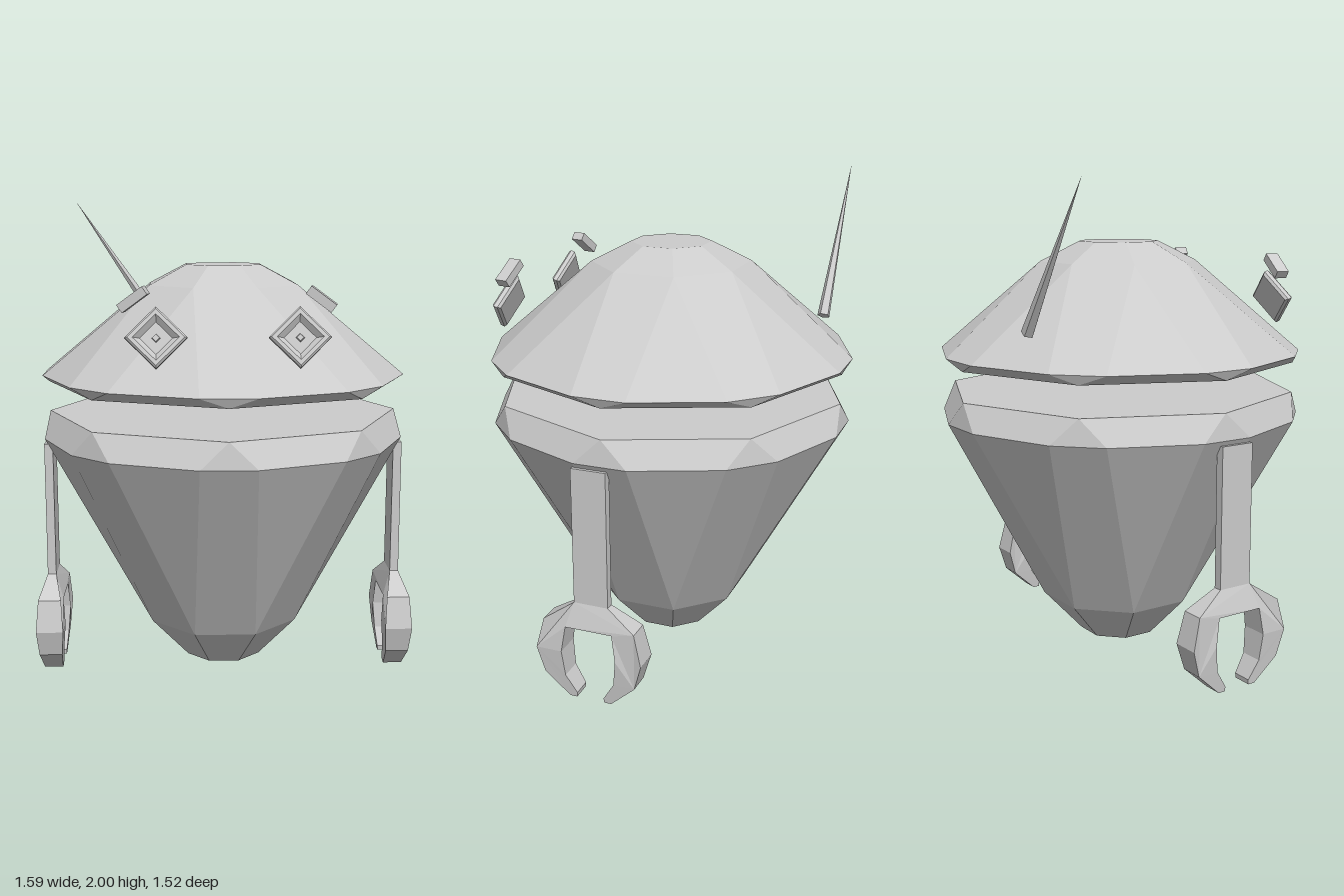
import * as THREE from 'three';

const material = new THREE.MeshStandardMaterial({ color: 0xcccccc, flatShading: true });

function addMesh(parent, name, geometry) {
  const mesh = new THREE.Mesh(geometry, material);
  mesh.name = name;
  parent.add(mesh);
  return mesh;
}

// Sixteen points in eight pairs; spread 0 or 22.5 degrees merges pairs into an octagon
function ring([y, radius, spread]) {
  const points = [];
  for (let k = 0; k < 8; k++) {
    for (const side of [-1, 1]) {
      const a = THREE.MathUtils.degToRad(k * 45 + side * spread);
      points.push(new THREE.Vector3(radius * Math.cos(a), y, radius * Math.sin(a)));
    }
  }
  return points;
}

// Closed faceted shell through rings listed from bottom to top
function facetedShell(levels) {
  const rings = levels.map(ring);
  const positions = [];
  const face = (a, b, c) => {
    if (new THREE.Triangle(a, b, c).getArea() < 1e-7) return;
    for (const p of [a, b, c]) positions.push(p.x, p.y, p.z);
  };
  const bottom = new THREE.Vector3(0, levels[0][0], 0);
  const top = new THREE.Vector3(0, levels[levels.length - 1][0], 0);
  for (let i = 0; i < 16; i++) {
    const j = (i + 1) % 16;
    for (let r = 0; r < rings.length - 1; r++) {
      const lo = rings[r], hi = rings[r + 1];
      face(lo[i], hi[i], lo[j]);
      face(lo[j], hi[i], hi[j]);
    }
    face(bottom, rings[0][i], rings[0][j]);
    face(top, rings[rings.length - 1][j], rings[rings.length - 1][i]);
  }
  const geometry = new THREE.BufferGeometry();
  geometry.setAttribute('position', new THREE.Float32BufferAttribute(positions, 3));
  geometry.computeVertexNormals();
  return geometry;
}

// Two-pronged claw: a side outline whose thickness varies with height
function clawGeometry() {
  const half = [[0.073, 0.42], [0.195, 0.34], [0.227, 0.21], [0.195, 0.1], [0.09, 0.005],
    [0.06, 0.005], [0.058, 0.025], [0.105, 0.1], [0.117, 0.21], [0.1, 0.32]];
  const outline = [...half, ...half.map(([z, y]) => [-z, y]).reverse()];
  const shape = new THREE.Shape(outline.map(([z, y]) => new THREE.Vector2(z, y)));
  const geometry = new THREE.ExtrudeGeometry(shape, { depth: 1, bevelEnabled: false });
  geometry.translate(0, 0, -0.5).rotateY(Math.PI / 2);
  const thickness = [[0, 0.078], [0.1, 0.096], [0.21, 0.114], [0.34, 0.096], [0.42, 0.036]];
  const p = geometry.attributes.position;
  for (let i = 0; i < p.count; i++) {
    const y = p.getY(i);
    let k = 0;
    while (k < 3 && y > thickness[k + 1][0]) k++;
    const [y0, t0] = thickness[k], [y1, t1] = thickness[k + 1];
    p.setX(i, p.getX(i) * THREE.MathUtils.mapLinear(y, y0, y1, t0, t1));
  }
  geometry.computeVertexNormals();
  return geometry;
}

// Four-sided frame with a sunken centre and a small raised pupil
function eyeGeometry() {
  const profile = [[0, -0.018], [0.105, -0.018], [0.118, -0.008], [0.118, 0.01], [0.108, 0.018],
    [0.088, 0.018], [0.062, -0.004], [0.017, -0.004], [0.014, 0.004], [0, 0.004]];
  const points = profile.map(([r, y]) => new THREE.Vector2(r, y));
  return new THREE.LatheGeometry(points, 4).rotateX(Math.PI / 2);
}

export function createModel() {
  const model = new THREE.Group();
  model.name = 'robot';

  // Body and floating domed lid
  addMesh(model, 'body', facetedShell([
    [0.03, 0.168, 22.5], [0.205, 0.333, 22.5], [1.01, 0.763, 8.3], [1.115, 0.74, 0]]));
  addMesh(model, 'dome', facetedShell([
    [1.24, 0.74, 0], [1.28, 0.766, 8.3], [1.655, 0.333, 22.5], [1.737, 0.168, 22.5]]));

  for (const side of [-1, 1]) {
    const label = side > 0 ? 'left' : 'right';

    // Arm with claw
    const arm = new THREE.Group();
    arm.name = label + 'Arm';
    arm.position.set(side * 0.74, 0, 0.047);
    addMesh(arm, label + 'ArmBar', new THREE.BoxGeometry(0.036, 0.575, 0.146)).position.y = 0.7025;
    addMesh(arm, label + 'Claw', clawGeometry());
    model.add(arm);

    // Eye, leaning back
    const eye = addMesh(model, label + 'Eye', eyeGeometry());
    eye.position.set(side * 0.27, 1.49, 0.622);
    eye.rotation.x = -0.32;

    // Slanted brow
    const brow = addMesh(model, label + 'Brow', new THREE.BoxGeometry(0.12, 0.036, 0.055));
    brow.position.set(side * 0.355, 1.63, 0.568);
    brow.rotation.set(0, -0.18, -side * 0.63, 'YXZ');
  }

  // Antenna at the back, leaning outward
  const base = new THREE.Vector3(-0.265, 1.41, -0.59);
  const tip = new THREE.Vector3(-0.665, 2, -0.59);
  const axis = tip.clone().sub(base);
  const antenna = addMesh(model, 'antenna', new THREE.ConeGeometry(0.027, axis.length(), 5));
  antenna.position.copy(base).add(tip).multiplyScalar(0.5);
  antenna.quaternion.setFromUnitVectors(new THREE.Vector3(0, 1, 0), axis.normalize());

  return model;
}
